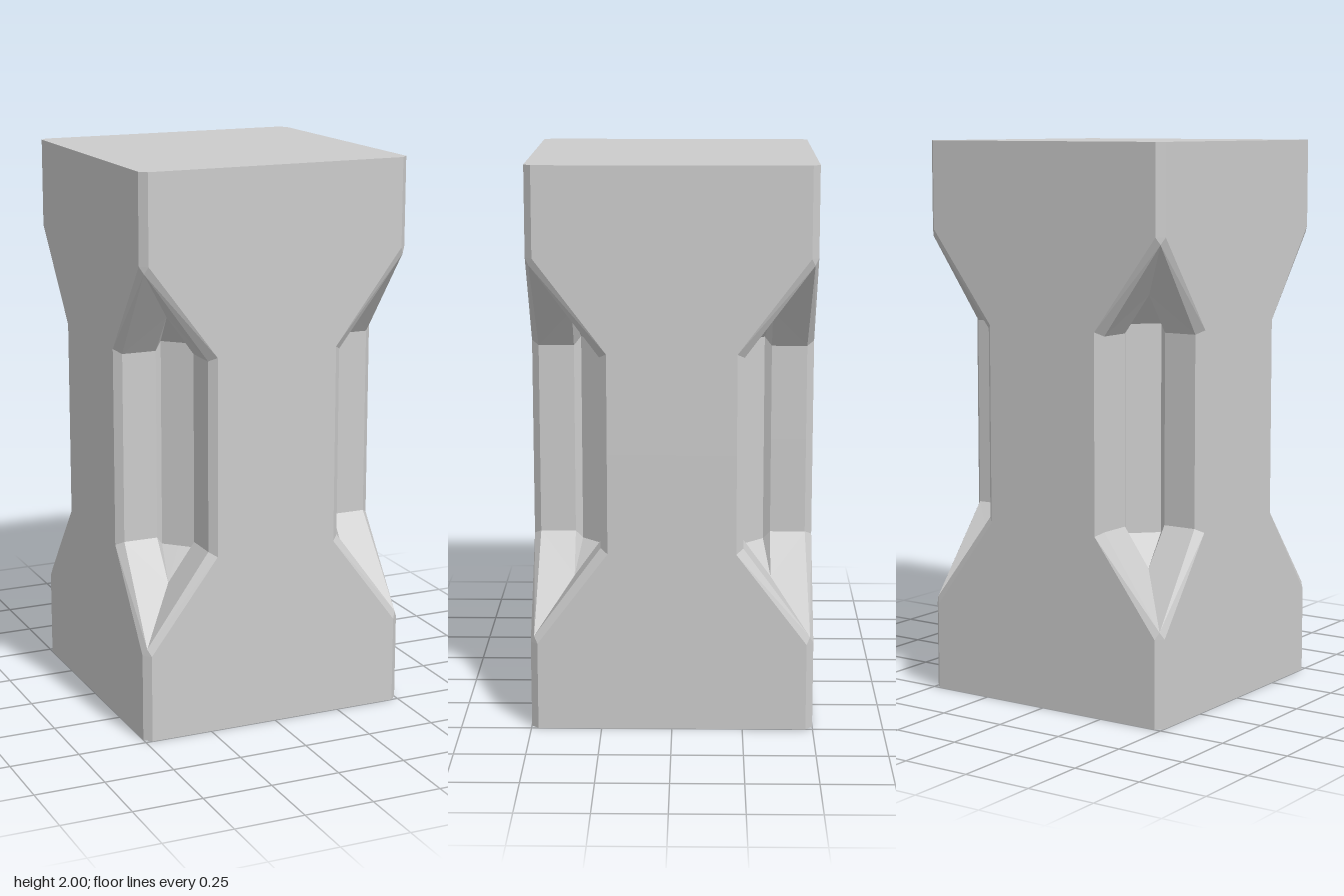
import * as THREE from 'three';

// Key points of one eighth of the upper half, [x, y, z], beside the +x +z corner
const rimMid = [0.225, 1, 0.5], rimLow = [0.225, 1.355, 0.5];
const rimTip = [0.475, 1.685, 0.5], edgeTop = [0.475, 2, 0.5];
const cornerTip = [0.4875, 1.685, 0.4875], cornerTop = [0.4875, 2, 0.4875];
const lipMid = [0.25, 1, 0.475], lipLow = [0.25, 1.34, 0.475], lipTip = [0.487, 1.66, 0.487];
const wallMid = [0.25, 1, 0.35], wallLow = [0.25, 1.34, 0.35];
const panelMid = [0.235, 1, 0.325], panelTop = [0.235, 1.37, 0.325];
const centreMid = [0.28, 1, 0.28], centreTop = [0.28, 1.37, 0.28];
const ridge = [0.35, 1.478, 0.35];

// Polygons of each part, counter-clockwise from outside, fanned from the first point
const parts = {
  sideFaces: [[[0, 2, 0.5], [0, 1, 0.5], rimMid, rimLow, rimTip, edgeTop]],
  endCaps: [[[0, 2, 0], [0, 2, 0.5], edgeTop, cornerTop]],
  cornerBevels: [[rimTip, cornerTip, cornerTop, edgeTop]],
  pocketRims: [
    [rimMid, lipMid, lipLow, rimLow],
    [rimLow, lipLow, lipTip, rimTip],
    [rimTip, lipTip, cornerTip],
  ],
  pocketWalls: [
    [lipMid, wallMid, wallLow, lipLow],
    [lipLow, wallLow, ridge, lipTip],
  ],
  pocketBackPanels: [
    [wallLow, wallMid, panelMid, panelTop, ridge],
    [panelMid, centreMid, centreTop, panelTop],
    [panelTop, centreTop, ridge],
  ],
};

// Repeats polygons across the diagonal, top to bottom, and around the four corners
function symmetricGeometry(polygons) {
  const positions = [];
  for (let turn = 0; turn < 4; turn++) {
    const c = [1, 0, -1, 0][turn], s = [0, 1, 0, -1][turn];
    for (const swap of [false, true]) {
      for (const flip of [false, true]) {
        const place = ([x, y, z]) => {
          if (swap) [x, z] = [z, x];
          return [c * x + s * z, flip ? 2 - y : y, c * z - s * x];
        };
        for (const polygon of polygons) {
          const p = polygon.map(place);
          for (let i = 1; i < p.length - 1; i++) {
            const pair = swap !== flip ? [p[i + 1], p[i]] : [p[i], p[i + 1]];
            positions.push(...p[0], ...pair[0], ...pair[1]);
          }
        }
      }
    }
  }
  const geometry = new THREE.BufferGeometry();
  geometry.setAttribute('position', new THREE.Float32BufferAttribute(positions, 3));
  geometry.computeVertexNormals();
  return geometry;
}

export function createModel() {
  const group = new THREE.Group();
  group.name = 'notchedColumn';
  const material = new THREE.MeshStandardMaterial({ color: 0xcccccc, flatShading: true });
  for (const [name, polygons] of Object.entries(parts)) {
    const mesh = new THREE.Mesh(symmetricGeometry(polygons), material);
    mesh.name = name;
    group.add(mesh);
  }
  return group;
}
